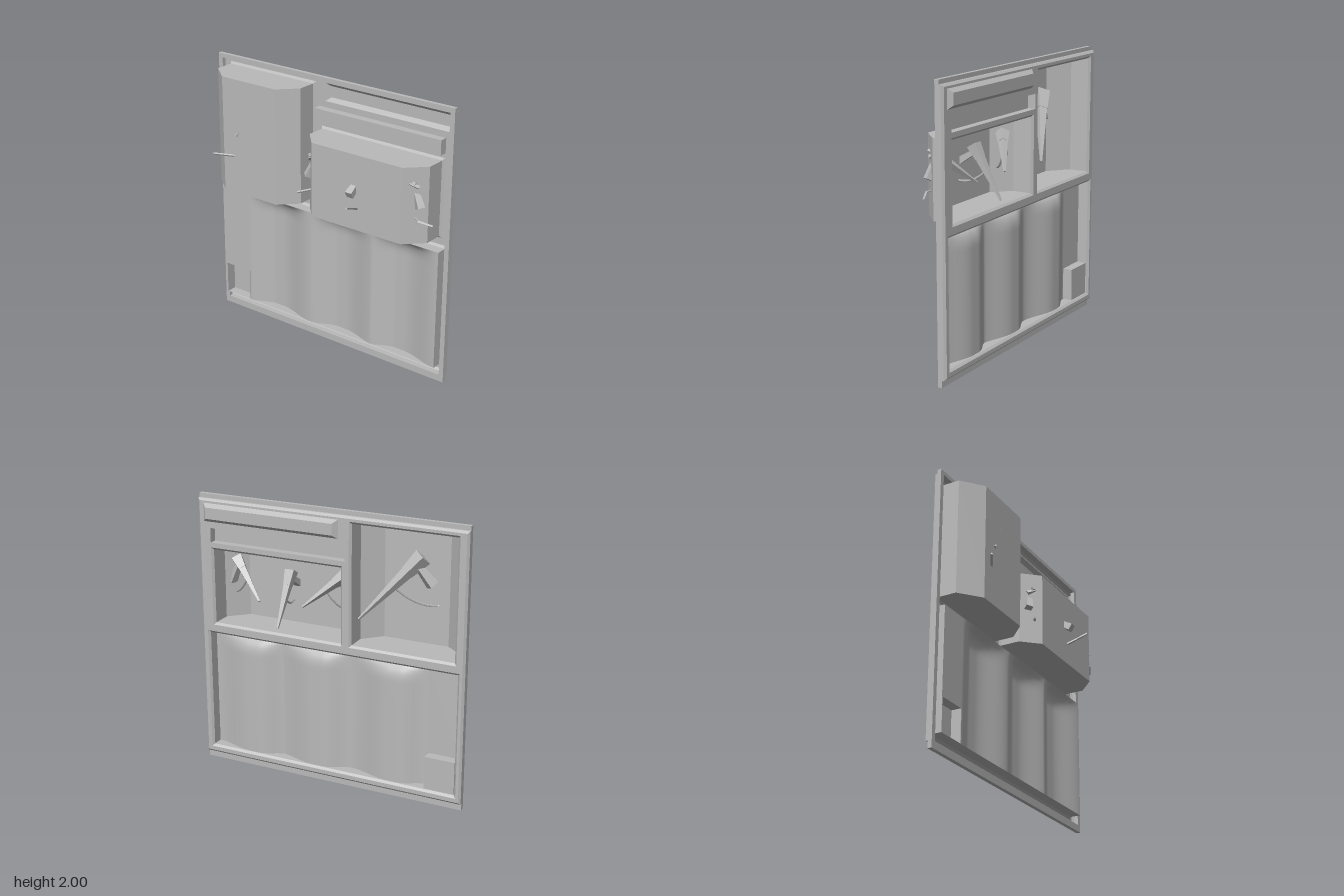
import * as THREE from 'three';

export function createModel() {
  const group = new THREE.Group();
  const grey = new THREE.MeshStandardMaterial({ color: 0xbababa, side: THREE.DoubleSide });
  grey.name = 'plain grey';

  const add = (geo, name, parent = group) => {
    const m = new THREE.Mesh(geo, grey);
    m.name = name;
    parent.add(m);
    return m;
  };

  // Pressed shell: rectangles [x0, x1, y0, y1, z] joined in order, last one optionally closed
  const shell = (rects, cap = true) => {
    const pos = [];
    const corners = ([x0, x1, y0, y1, z]) => [[x0, y0, z], [x1, y0, z], [x1, y1, z], [x0, y1, z]];
    const quad = (a, b, c, d) => pos.push(...a, ...b, ...c, ...a, ...c, ...d);
    for (let i = 0; i + 1 < rects.length; i++) {
      const p = corners(rects[i]), q = corners(rects[i + 1]);
      for (let k = 0; k < 4; k++) {
        const n = (k + 1) % 4;
        quad(p[k], p[n], q[n], q[k]);
      }
    }
    if (cap) quad(...corners(rects[rects.length - 1]));
    const g = new THREE.BufferGeometry();
    g.setAttribute('position', new THREE.Float32BufferAttribute(pos, 3));
    g.computeVertexNormals();
    return g;
  };

  const rectPath = (P, [x0, x1, y0, y1]) => {
    const p = new P();
    p.moveTo(x0, y0);
    p.lineTo(x1, y0);
    p.lineTo(x1, y1);
    p.lineTo(x0, y1);
    p.closePath();
    return p;
  };
  const grow = ([x0, x1, y0, y1], d) => [x0 - d, x1 + d, y0 - d, y1 + d];

  // Openings
  const FACE = -0.2, LIP = 0.015;
  const tall = [-0.925, -0.175, 1.07, 1.92];
  const wide = [-0.095, 0.89, 1.07, 1.61];
  const lower = [-0.95, 0.94, 0.11, 0.99];
  const sign = [-0.08, 0.952, 1.81, 1.94];
  const strip = [-0.13, 0.905, 1.66, 1.765];

  // Face plate, bevelled skirt and outer flange
  const face = rectPath(THREE.Shape, [-0.985, 0.985, 0.065, 1.955]);
  for (const h of [grow(tall, LIP), grow(wide, LIP), grow(lower, LIP), sign, strip])
    face.holes.push(rectPath(THREE.Path, h));
  add(new THREE.ShapeGeometry(face).translate(0, 0, FACE), 'facePlate');
  add(shell([
    [-0.985, 0.985, 0.065, 1.955, FACE],
    [-1, 1, 0.05, 1.97, -0.185],
    [-1, 1, 0.05, 1.97, -0.17],
  ], false), 'frameSkirt');
  const flange = rectPath(THREE.Shape, [-1, 1, 0, 2]);
  flange.holes.push(rectPath(THREE.Path, [-0.965, 0.965, 0.05, 1.97]));
  add(new THREE.ExtrudeGeometry(flange, { depth: 0.03, bevelEnabled: false }).translate(0, 0, -0.17), 'outerFlange');

  // Alcoves: straight walls, then slanted cheeks to a flat end wall
  const alcove = (r, shoulder, x0, x1, name) => add(shell([
    [...grow(r, LIP), FACE],
    [...r, -0.185],
    [...r, shoulder],
    [x0, x1, r[2], r[3], 0.08],
  ]), name);
  alcove(tall, -0.045, -0.775, -0.3, 'tallAlcove');
  alcove(wide, -0.045, 0.02, 0.76, 'wideAlcove');

  // Raised sign panel and recessed strip
  add(shell([[...sign, FACE], [-0.047, 0.925, 1.835, 1.915, -0.23]]), 'signPanel');
  add(shell([[...strip, FACE], [...strip, -0.142]]), 'recessedStrip');

  // Lower recess walls and corner box
  add(shell([[...grow(lower, LIP), FACE], [...lower, -0.185], [...lower, -0.108]], false), 'lowerRecess');
  add(shell([[-0.945, -0.725, 0.112, 0.35, -0.108], [-0.945, -0.725, 0.112, 0.35, -0.18]]), 'cornerBox');
  add(new THREE.PlaneGeometry(0.23, 0.64).translate(-0.835, 0.67, -0.108), 'flatPanel');

  // Wavy panel: three troughs, steep on one side, rounded off at the top
  const smooth = THREE.MathUtils.smoothstep;
  const starts = [-0.72, -0.14, 0.37];
  const wave = new THREE.PlaneGeometry(1.66, 0.88, 110, 36).translate(0.11, 0.55, 0);
  const wp = wave.attributes.position;
  for (let i = 0; i < wp.count; i++) {
    const x = wp.getX(i), y = wp.getY(i);
    let d = 0;
    for (const a of starts)
      d = Math.max(d, smooth(x, a, a + 0.2) * (1 - smooth(x, a + 0.27, a + 0.58)));
    const t = Math.min(1, Math.max(0, (0.985 - y) / 0.12));
    wp.setZ(i, -0.108 - 0.07 * d * Math.sqrt(1 - (1 - t) ** 2));
  }
  wave.computeVertexNormals();
  add(wave, 'wavyPanel');

  // Four-sided tapered bar between two points
  const V = (p) => new THREE.Vector3(...p);
  const bar = (a, b, ra, rb, name, parent) => {
    const A = V(a), B = V(b), dir = B.clone().sub(A);
    const g = new THREE.CylinderGeometry(rb, ra, dir.length(), 4).toNonIndexed();
    g.rotateY(Math.PI / 4);
    g.computeVertexNormals();
    const m = add(g, name, parent);
    m.position.copy(A).add(B).multiplyScalar(0.5);
    m.quaternion.setFromUnitVectors(new THREE.Vector3(0, 1, 0), dir.normalize());
  };

  // Hand tool: tapered barrel, block head, grip, curved lever and prong
  const tool = (name, { head, tip, grip, from, to, s = 1 }) => {
    const t = new THREE.Group();
    t.name = name;
    group.add(t);
    const H = V(head), T = V(tip);
    const back = H.clone().lerp(T, -0.12).toArray();
    const neck = H.clone().lerp(T, 0.16).toArray();
    bar(back, neck, 0.05 * s, 0.036 * s, 'head', t);
    bar(neck, tip, 0.034 * s, 0.008, 'barrel', t);
    bar(head, grip, 0.022 * s, 0.036 * s, 'grip', t);
    const mid = H.clone().lerp(T, 0.4);
    const low = mid.clone().lerp(V(from), 0.5);
    low.y -= 0.06 * s;
    const curve = new THREE.QuadraticBezierCurve3(mid, low, V(from));
    add(new THREE.TubeGeometry(curve, 10, 0.008 * s, 4), 'lever', t);
    bar(from, to, 0.009, 0.008, 'prong', t);
  };
  tool('tallAlcoveTool', {
    head: [-0.56, 1.65, 0], tip: [-0.23, 1.27, -0.19], grip: [-0.66, 1.5, 0.05],
    from: [-0.69, 1.348, 0.08], to: [-0.815, 1.358, 0.155], s: 1.3,
  });
  tool('leftTool', {
    head: [-0.01, 1.47, -0.01], tip: [0.21, 1.28, -0.16], grip: [-0.062, 1.33, 0.015],
    from: [-0.02, 1.245, 0.04], to: [-0.1, 1.22, 0.085],
  });
  tool('middleTool', {
    head: [0.37, 1.44, -0.04], tip: [0.37, 1.12, -0.23], grip: [0.375, 1.335, 0.13],
    from: [0.405, 1.23, 0.08], to: [0.43, 1.29, 0.23],
  });
  tool('rightTool', {
    head: [0.79, 1.48, -0.01], tip: [0.55, 1.27, -0.16], grip: [0.862, 1.33, 0.01],
    from: [0.86, 1.245, 0.03], to: [0.95, 1.22, -0.01],
  });
  // Small head corners showing through the cheeks
  bar([0.8, 1.49, -0.01], [0.825, 1.505, 0.04], 0.02, 0.016, 'rightNub', group);
  bar([-0.01, 1.48, -0.01], [-0.03, 1.5, 0.04], 0.02, 0.016, 'leftNub', group);

  return group;
}
